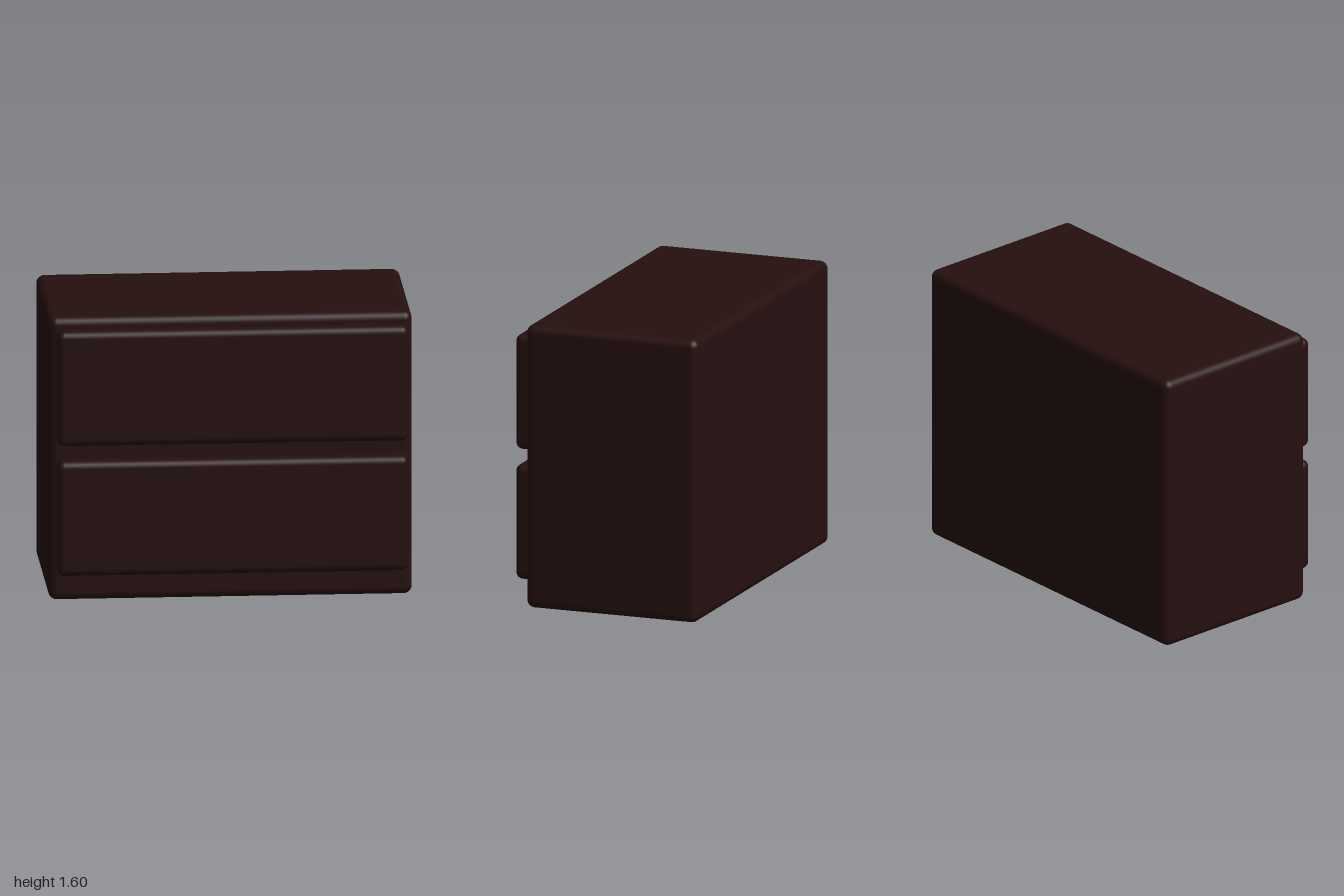
import * as THREE from 'three';
import { RoundedBoxGeometry } from 'three/addons/geometries/RoundedBoxGeometry.js';

export function createModel() {
  const group = new THREE.Group();
  group.name = 'drawerCabinet';
  const darkWood = new THREE.MeshStandardMaterial({ name: 'darkWood', color: 0x260f0f });

  // Rounded block given by its minimum and maximum corners
  function block(name, min, max, radius) {
    const [w, h, d] = max.map((v, i) => v - min[i]);
    const mesh = new THREE.Mesh(new RoundedBoxGeometry(w, h, d, 4, radius), darkWood);
    mesh.position.set(...max.map((v, i) => (v + min[i]) / 2));
    mesh.name = name;
    group.add(mesh);
  }

  // Cabinet body
  block('cabinetBody', [-1, 0, -0.543], [1, 1.6, 0.47], 0.045);

  // Two drawer fronts standing proud of the body
  block('lowerDrawer', [-0.957, 0.15, 0.36], [0.975, 0.80, 0.543], 0.04);
  block('upperDrawer', [-0.957, 0.885, 0.36], [0.975, 1.535, 0.543], 0.04);

  return group;
}
